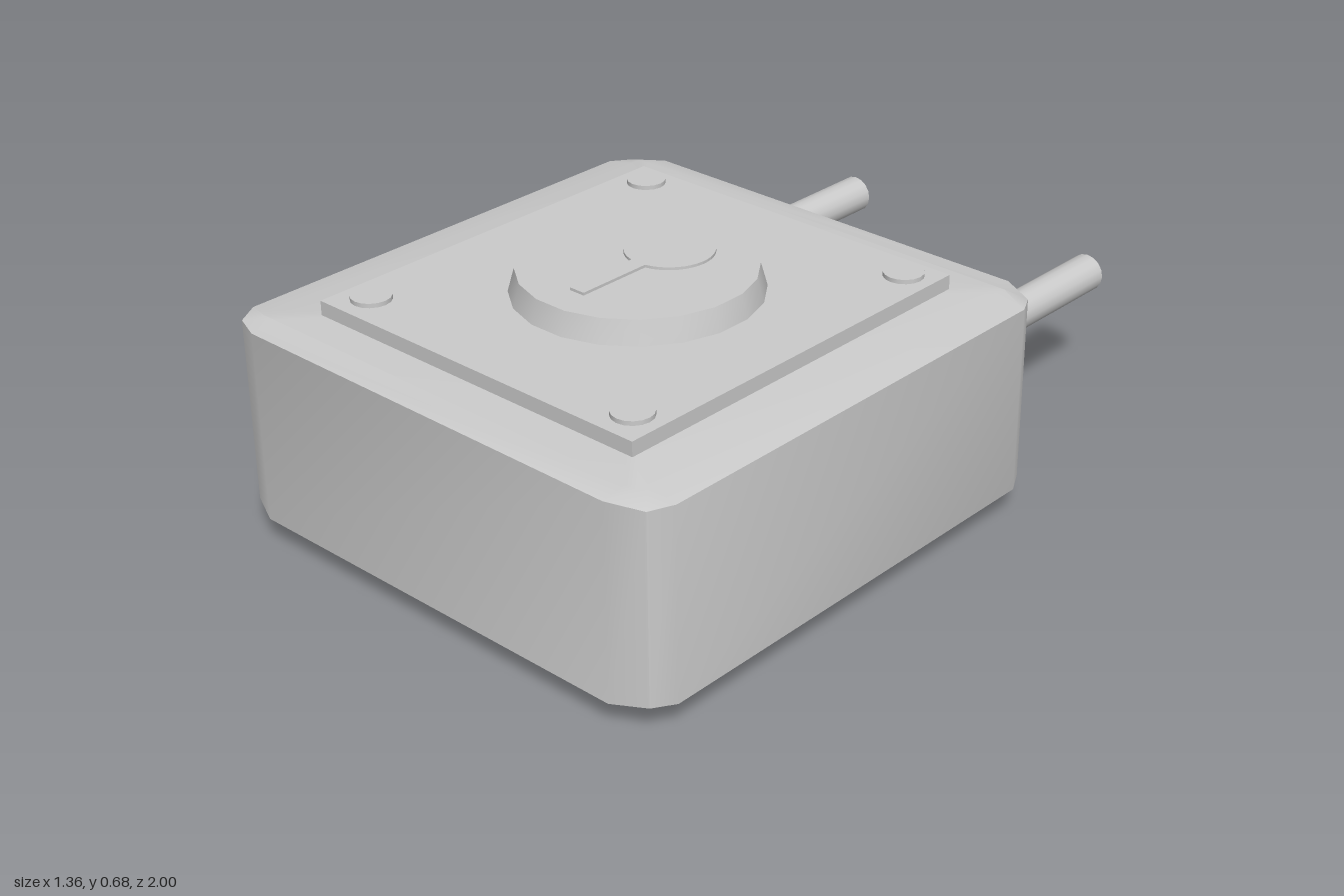
import * as THREE from 'three';
import { toCreasedNormals } from 'three/addons/utils/BufferGeometryUtils.js';

const CZ = 0.305; // centre of the housing along z
const material = new THREE.MeshStandardMaterial({ color: 0xcccccc });

function add(parent, name, geometry, x = 0, y = 0, z = 0) {
  const mesh = new THREE.Mesh(geometry, material);
  mesh.name = name;
  mesh.position.set(x, y, z);
  parent.add(mesh);
  return mesh;
}

// Upright disc or cone section with creased rims
function disc(rTop, rBottom, height, sides, turn = 0) {
  return toCreasedNormals(new THREE.CylinderGeometry(rTop, rBottom, height, sides, 1, false, turn), 0.6);
}

// Housing: rounded-corner outline lofted through four levels
function housingGeometry() {
  // x, z, drop of the rim at each corner point
  const corner = [[0.68, 0.6, 0.004], [0.65, 0.657, 0.008], [0.565, 0.695, 0]];
  const outline = [];
  [[1, 1], [-1, 1], [-1, -1], [1, -1]].forEach(([sx, sz], q) => {
    const pts = q % 2 ? [...corner].reverse() : corner;
    pts.forEach(([x, z, d]) => outline.push([sx * x, sz * z, d]));
  });
  const clamp = THREE.MathUtils.clamp;
  const levels = [
    { y: 0.058, inset: true, drop: 0 },
    { y: 0.066, inset: false, drop: 1 },
    { y: 0.562, inset: false, drop: -1 },
    { y: 0.574, inset: true, drop: 0 },
  ];
  const n = outline.length, pos = [], index = [];
  for (const { y, inset, drop } of levels) {
    for (const [x, z, d] of outline) {
      pos.push(inset ? clamp(x, -0.6, 0.6) : x, y + drop * d, inset ? clamp(z, -0.63, 0.63) : z);
    }
  }
  const bottom = n * levels.length, top = bottom + 1;
  pos.push(0, 0.058, 0, 0, 0.574, 0);
  for (let i = 0; i < n; i++) {
    const k = (i + 1) % n;
    for (let j = 0; j < levels.length - 1; j++) {
      const a = j * n + i, b = j * n + k;
      index.push(a, a + n, b, b, a + n, b + n);
    }
    const t = (levels.length - 1) * n;
    index.push(bottom, i, k, top, t + k, t + i);
  }
  const g = new THREE.BufferGeometry();
  g.setAttribute('position', new THREE.Float32BufferAttribute(pos, 3));
  g.setIndex(index);
  return toCreasedNormals(g, 0.6);
}

// Raised keyhole: round head with a narrow slot towards the front
function keyholeGeometry() {
  const r = 0.11, w = 0.022, a = Math.asin(w / r);
  const s = new THREE.Shape();
  s.absarc(0, 0, r, -Math.PI / 2 + a, Math.PI * 1.5 - a, false);
  s.lineTo(-w, -0.31);
  s.lineTo(w, -0.31);
  s.closePath();
  const g = new THREE.ExtrudeGeometry(s, { depth: 0.012, bevelEnabled: false, curveSegments: 20 });
  return g.rotateX(-Math.PI / 2);
}

export function createModel() {
  const model = new THREE.Group();
  model.name = 'padlock';

  add(model, 'housing', housingGeometry(), 0, 0, CZ);

  // Cover plates above and below
  add(model, 'topPlate', new THREE.BoxGeometry(1, 0.05, 1.085), 0, 0.586, 0.303);
  add(model, 'bottomPlate', new THREE.BoxGeometry(1, 0.05, 1.085), 0, 0.045, 0.303);

  // Rivets in the plate corners
  for (const x of [-0.42, 0.42]) {
    for (const z of [-0.165, 0.76]) {
      add(model, 'topRivet', disc(0.05, 0.05, 0.03, 16), x, 0.607, z);
      add(model, 'bottomRivet', disc(0.05, 0.05, 0.03, 16), x, 0.015, z);
    }
  }

  // Tapered lock boss with keyhole
  add(model, 'lockBoss', disc(0.288, 0.306, 0.065, 20, Math.PI / 20), 0, 0.6375, CZ);
  add(model, 'keyhole', keyholeGeometry(), 0, 0.665, 0.195);

  // Shackle bars leaving the back, each with a thin collar
  for (const x of [-0.395, 0.395]) {
    add(model, 'shackleBar', disc(0.05, 0.05, 0.65, 16).rotateX(-Math.PI / 2), x, 0.32, -0.675);
    add(model, 'shackleCollar', disc(0.067, 0.067, 0.025, 16).rotateX(-Math.PI / 2), x, 0.32, -0.383);
  }
  return model;
}
